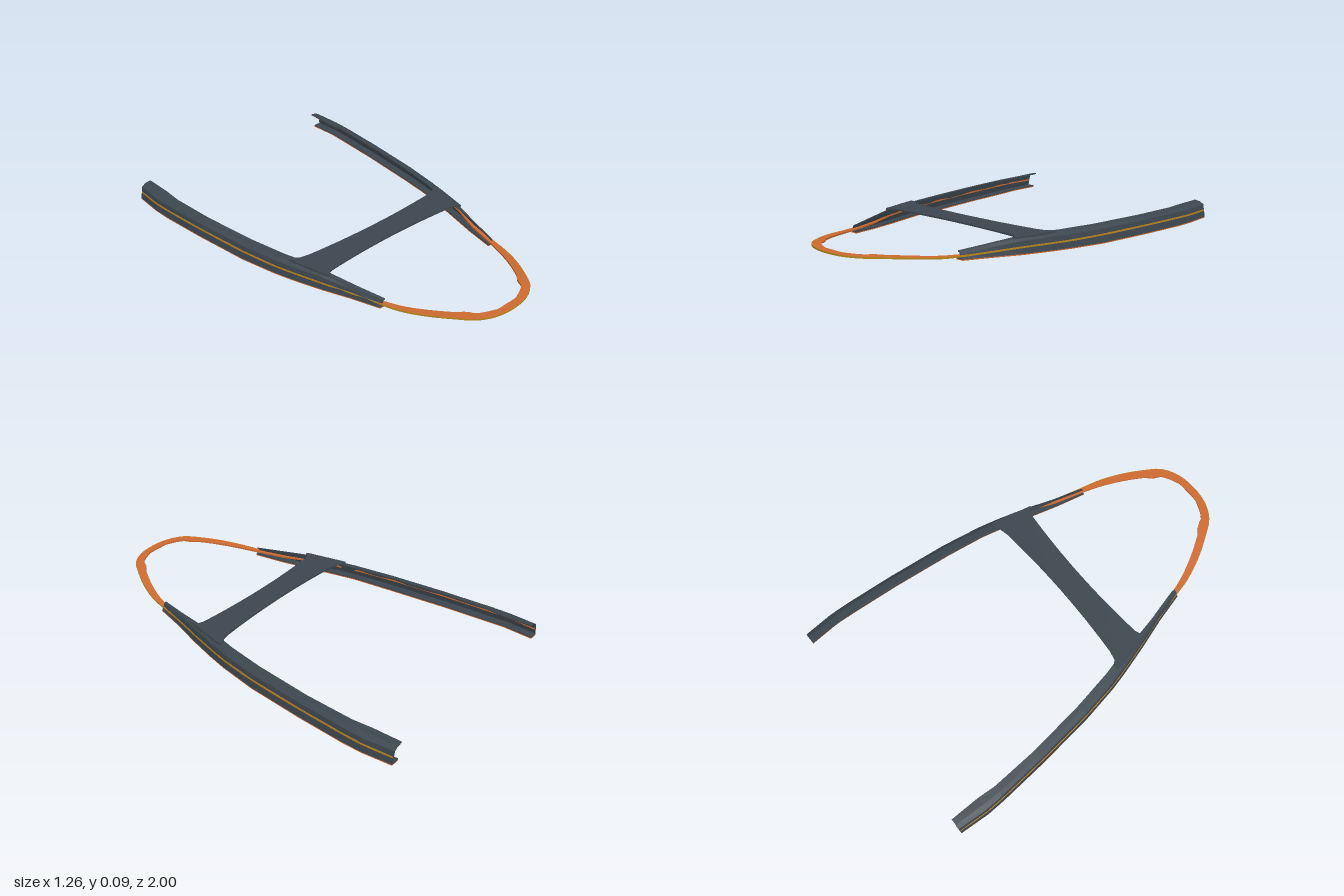
import * as THREE from 'three';

const material = (color) => new THREE.MeshStandardMaterial({ color, flatShading: true });
const slate = material(0x3c464e);
const orange = material(0xcd6a30);
const yellow = material(0xb8861c);

// Closed skin through a row of rings, with capped ends
function loft(name, rings, mat, caps = [[0, 1, 2], [0, 2, 3]]) {
  const n = rings[0].length;
  const last = (rings.length - 1) * n;
  const index = [];
  for (let i = 0; i < rings.length - 1; i++) {
    for (let j = 0; j < n; j++) {
      const a = i * n + j, b = i * n + (j + 1) % n;
      index.push(a, b, b + n, a, b + n, a + n);
    }
  }
  for (const [a, b, c] of caps) index.push(c, b, a, last + a, last + b, last + c);
  let geo = new THREE.BufferGeometry().setFromPoints(rings.flat());
  geo.setIndex(index);
  geo = geo.toNonIndexed();
  geo.computeVertexNormals();
  const mesh = new THREE.Mesh(geo, mat);
  mesh.name = name;
  return mesh;
}

// Rail stations: z, outer x, inner x of top flange, inner x of bottom flange, bottom y, top y
const STATIONS = [
  [-1, 0.62, 0.555, 0.575, 0.004, 0.09],
  [-0.85, 0.63, 0.553, 0.585, 0.002, 0.087],
  [-0.75, 0.626, 0.56, 0.58, 0, 0.087],
  [-0.5, 0.606, 0.546, 0.56, 0, 0.087],
  [-0.2, 0.573, 0.51, 0.527, 0, 0.087],
  [0, 0.538, 0.475, 0.495, 0.005, 0.089],
  [0.1, 0.513, 0.45, 0.47, 0.007, 0.091],
  [0.25, 0.47, 0.425, 0.428, 0.011, 0.091],
  [0.4, 0.422, 0.392, 0.383, 0.018, 0.08],
  [0.55, 0.383, 0.353, 0.345, 0.026, 0.068],
];
const T = 0.005;

// C-shaped rail section, open toward the middle
function railSection([, xo, xi, bi, y, yt]) {
  const y0 = y + T, xw = xo - 0.012, yw = yt - 0.017;
  const xc = xw + (xi - xw) * 0.4;
  return [
    [bi, y0], [xo, y0], [xw, yw], [xc, yt - 0.004], [xi, yt],
    [xi, yt - T], [xc, yt - 0.004 - T], [xw - T, yw - T / 2], [xo - T, y0 + T], [bi, y0 + T],
  ];
}

// Thin sole under the rail
const soleSection = ([, xo, , bi, y]) => [[bi, y], [xo, y], [xo, y + T], [bi, y + T]];

function sideLoft(name, section, side, mat) {
  const rings = STATIONS.map((s) => {
    const ring = section(s).map(([x, y]) => new THREE.Vector3(x * side, y, s[0]));
    return side < 0 ? ring.reverse() : ring;
  });
  const outline = rings[0].map((p) => new THREE.Vector2(p.x, p.y));
  return loft(name, rings, mat, THREE.ShapeUtils.triangulateShape(outline, []));
}

// Outer edge of the band, rear to nose: x, y, z, width
const BAND = [
  [0.615, 0.043, -0.998, 0.008], [0.625, 0.043, -0.85, 0.008], [0.621, 0.043, -0.75, 0.008],
  [0.601, 0.043, -0.5, 0.008], [0.568, 0.043, -0.2, 0.008], [0.533, 0.044, 0, 0.008],
  [0.508, 0.045, 0.1, 0.008], [0.465, 0.046, 0.25, 0.01], [0.417, 0.044, 0.4, 0.022],
  [0.377, 0.045, 0.55, 0.026], [0.35, 0.05, 0.65, 0.034], [0.302, 0.061, 0.76, 0.04],
  [0.238, 0.072, 0.865, 0.042], [0.182, 0.077, 0.938, 0.042], [0.1, 0.078, 0.982, 0.041],
  [0, 0.078, 0.995, 0.041],
];

function addBand(group) {
  const all = [...BAND, ...BAND.slice(0, -1).reverse().map(([x, ...rest]) => [-x, ...rest])];
  const path = new THREE.CatmullRomCurve3(all.map(([x, y, z]) => new THREE.Vector3(x, y, z)));
  const widths = new THREE.CatmullRomCurve3(all.map((p) => new THREE.Vector3(p[3], 0, 0)));
  const up = new THREE.Vector3(0, 1, 0);
  const edge = 0.002, half = 0.004;
  const core = [], trim = [];
  const steps = (all.length - 1) * 3;
  for (let i = 0; i <= steps; i++) {
    const p = path.getPoint(i / steps);
    const out = up.clone().cross(path.getTangent(i / steps)).normalize();
    const w = widths.getPoint(i / steps).x;
    const at = (u, v) => p.clone().addScaledVector(out, u).addScaledVector(up, v);
    const box = (u0, u1) => [at(u0, -half), at(u1, -half), at(u1, half), at(u0, half)];
    core.push(box(-w, -edge));
    trim.push(box(-edge, 0));
  }
  group.add(loft('noseBand', core, orange), loft('bandEdge', trim, yellow));
}

// Cross plate, waisted in the middle and flared where it meets the rails
function crossPlate() {
  const right = [[0.4, 0.087], [0.445, 0.077], [0.462, 0.06], [0.494, 0.06], [0.445, 0.275], [0.43, 0.275], [0.43, 0.262], [0.4, 0.249]];
  const shape = new THREE.Shape();
  shape.moveTo(0, 0.105);
  shape.quadraticCurveTo(0.2, 0.105, ...right[0]);
  right.slice(1).forEach(([x, z]) => shape.lineTo(x, z));
  shape.quadraticCurveTo(0.2, 0.23, 0, 0.23);
  shape.quadraticCurveTo(-0.2, 0.23, -right[7][0], right[7][1]);
  right.slice(0, 7).reverse().forEach(([x, z]) => shape.lineTo(-x, z));
  shape.quadraticCurveTo(-0.2, 0.105, 0, 0.105);
  const geo = new THREE.ExtrudeGeometry(shape, { depth: 0.008, bevelEnabled: false, curveSegments: 8 });
  geo.rotateX(Math.PI / 2).translate(0, 0.093, 0);
  const mesh = new THREE.Mesh(geo, slate);
  mesh.name = 'crossPlate';
  return mesh;
}

export function createModel() {
  const group = new THREE.Group();
  group.name = 'frame';
  for (const [label, side] of [['left', 1], ['right', -1]]) {
    group.add(sideLoft(label + 'Rail', railSection, side, slate));
    group.add(sideLoft(label + 'RailSole', soleSection, side, orange));
  }
  addBand(group);
  group.add(crossPlate());
  return group;
}
